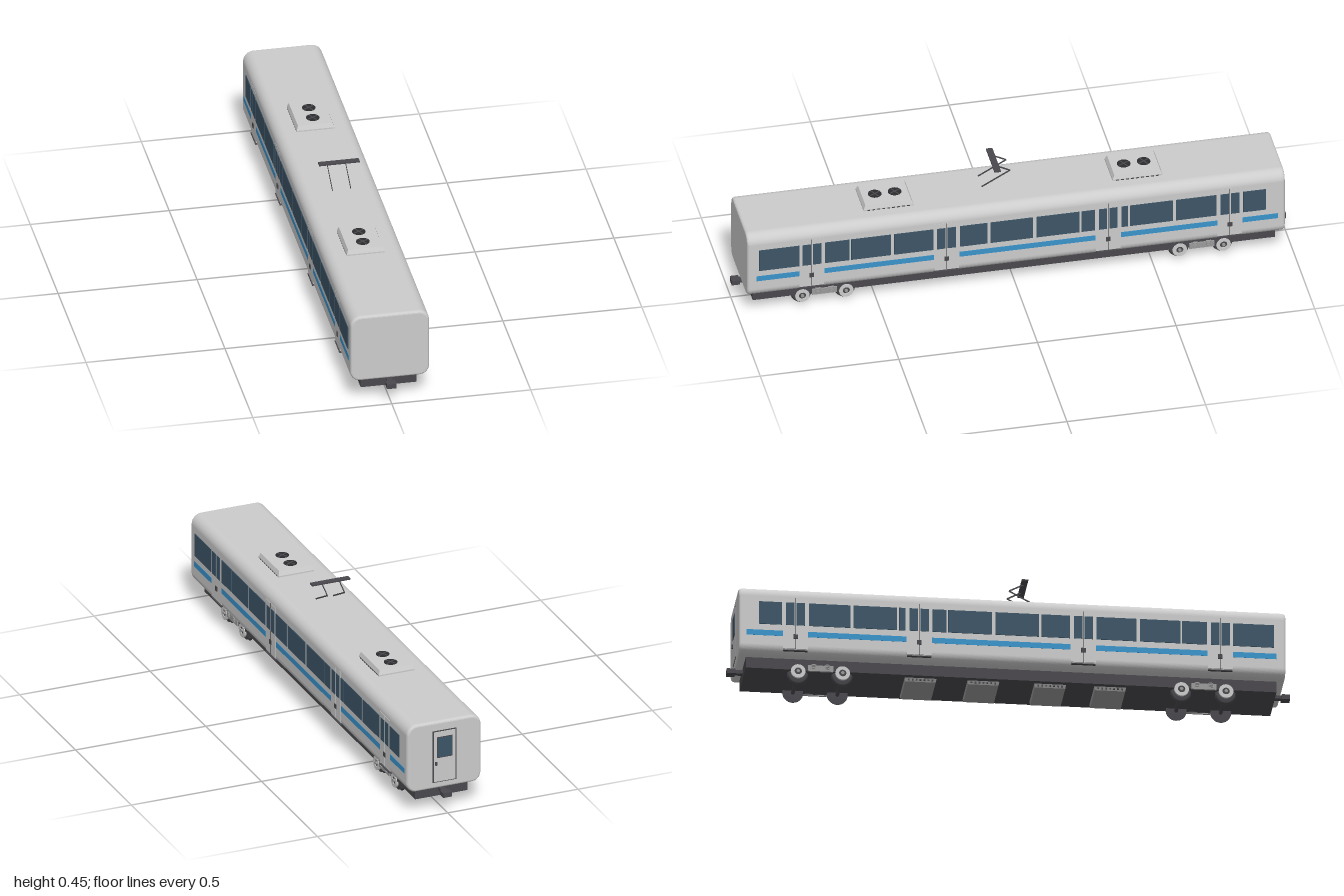
import * as THREE from 'three';

const mat = (color) => new THREE.MeshStandardMaterial({ color });
const GREY = mat(0xcccccc), DARK = mat(0x4a484d), GLASS = mat(0x3d5566);
const BLUE = mat(0x3a94cc), STEEL = mat(0x9a9a9a), BLACK = mat(0x2c2b2e);

function add(parent, name, geometry, material, x = 0, y = 0, z = 0) {
  const m = new THREE.Mesh(geometry, material);
  m.name = name;
  m.position.set(x, y, z);
  parent.add(m);
  return m;
}

// box given by its limits
function span(parent, name, material, x0, x1, y0, y1, z0, z1) {
  return add(parent, name, new THREE.BoxGeometry(Math.abs(x1 - x0), y1 - y0, Math.abs(z1 - z0)),
    material, (x0 + x1) / 2, (y0 + y1) / 2, (z0 + z1) / 2);
}

// box whose top is narrowed
function taperedBox(w, h, d, kx, kz) {
  const g = new THREE.BoxGeometry(w, h, d), p = g.attributes.position;
  for (let i = 0; i < p.count; i++) {
    if (p.getY(i) > 0) p.setXYZ(i, p.getX(i) * kx, p.getY(i), p.getZ(i) * kz);
  }
  g.computeVertexNormals();
  return g;
}

// cylinder lying along x
function disc(r, w, n = 24) {
  return new THREE.CylinderGeometry(r, r, w, n).rotateZ(Math.PI / 2);
}

function roundedShape(w, y0, y1, rb, rt) {
  const s = new THREE.Shape();
  s.moveTo(-w + rb, y0);
  s.lineTo(w - rb, y0);
  s.absarc(w - rb, y0 + rb, rb, -Math.PI / 2, 0);
  s.absarc(w - rt, y1 - rt, rt, 0, Math.PI / 2);
  s.absarc(-w + rt, y1 - rt, rt, Math.PI / 2, Math.PI);
  s.absarc(-w + rb, y0 + rb, rb, Math.PI, Math.PI * 1.5);
  return s;
}

const DOORS = [0.738, 0.252, -0.331, -0.77];
const WINDOWS = [[0.928, 0.783], [0.69, 0.602], [0.596, 0.452], [0.441, 0.299], [0.204, 0.104],
  [0.094, -0.06], [-0.072, -0.228], [-0.235, -0.283], [-0.379, -0.402], [-0.41, -0.564],
  [-0.575, -0.722], [-0.818, -0.9]];
const STRIPES = [[0.938, 0.783], [0.692, 0.297], [0.206, -0.286], [-0.377, -0.725], [-0.815, -0.944]];

function carSide(s) {
  const g = new THREE.Group();
  g.name = s > 0 ? 'leftSide' : 'rightSide';
  for (const [a, b] of WINDOWS) span(g, 'window', GLASS, s * 0.139, s * 0.1445, 0.199, 0.286, a, b);
  for (const [a, b] of STRIPES) span(g, 'stripe', BLUE, s * 0.139, s * 0.1428, 0.155, 0.176, a, b);
  for (const z of DOORS) {
    for (const k of [-1, 1]) {
      span(g, 'doorLeaf', GREY, s * 0.137, s * 0.1427, 0.108, 0.305, z + k * 0.001, z + k * 0.044);
      span(g, 'doorWindow', GLASS, s * 0.139, s * 0.1445, 0.199, 0.286, z + k * 0.004, z + k * 0.034);
    }
    span(g, 'doorSeam', BLACK, s * 0.139, s * 0.1424, 0.108, 0.305, z - 0.001, z + 0.001);
    span(g, 'doorHandle', DARK, s * 0.14, s * 0.1455, 0.146, 0.163, z - 0.008, z + 0.008);
    span(g, 'doorStep', DARK, s * 0.132, s * 0.1445, 0.1, 0.103, z - 0.043, z + 0.043);
  }
  return g;
}

function bogie(z) {
  const g = new THREE.Group();
  g.name = 'bogie';
  g.position.z = z;
  // tapered tread with a flange on the inner side
  const wheel = new THREE.LatheGeometry([[0, 0], [0.037, 0], [0.037, 0.003], [0.034, 0.005], [0.032, 0.014], [0, 0.014]]
    .map(([r, h]) => new THREE.Vector2(r, h)), 28).rotateZ(-Math.PI / 2);
  // open ring outside the wheel
  const ring = new THREE.Shape().absarc(0, 0, 0.026, 0, Math.PI * 2);
  ring.holes.push(new THREE.Path().absarc(0, 0, 0.013, 0, Math.PI * 2, true));
  const ringGeo = new THREE.ExtrudeGeometry(ring, { depth: 0.008, bevelEnabled: false, curveSegments: 14 })
    .rotateY(Math.PI / 2);
  for (const dz of [-0.079, 0.079]) {
    add(g, 'axle', disc(0.007, 0.2, 12), DARK, 0, 0.037, dz);
    for (const s of [-1, 1]) {
      const w = add(g, 'wheel', wheel, DARK, s * 0.074, 0.037, dz);
      if (s < 0) w.rotation.y = Math.PI;
      add(g, 'wheelRing', ringGeo, GREY, s > 0 ? 0.095 : -0.103, 0.041, dz);
      add(g, 'hubBack', disc(0.014, 0.006), DARK, s * 0.097, 0.041, dz);
      add(g, 'axleCap', disc(0.006, 0.012, 14), STEEL, s * 0.1, 0.041, dz);
    }
  }
  for (const s of [-1, 1]) {
    span(g, 'sideFrame', DARK, s * 0.093, s * 0.101, 0.045, 0.062, -0.08, 0.08);
    span(g, 'springBox', STEEL, s * 0.098, s * 0.106, 0.042, 0.064, -0.045, 0.045);
    for (const dz of [-0.024, 0.024]) {
      for (const y of [0.053, 0.059, 0.065]) {
        add(g, 'spring', new THREE.CylinderGeometry(0.01, 0.01, 0.004, 14), STEEL, s * 0.101, y, dz);
      }
    }
  }
  return g;
}

function roofUnit(z) {
  const g = new THREE.Group();
  g.name = 'roofUnit';
  g.position.z = z;
  span(g, 'roofUnitBase', GREY, -0.068, 0.068, 0.343, 0.352, -0.09, 0.09);
  add(g, 'roofUnitCover', taperedBox(0.136, 0.016, 0.18, 0.92, 0.92).toNonIndexed(), GREY, 0, 0.36, 0);
  for (const dz of [-0.036, 0.036]) {
    add(g, 'fan', new THREE.CylinderGeometry(0.024, 0.024, 0.004, 28), BLACK, 0, 0.3675, dz);
    for (const a of [0, Math.PI / 2]) {
      add(g, 'fanBlade', new THREE.BoxGeometry(0.044, 0.001, 0.005), DARK, 0, 0.3697, dz).rotation.y = a + 0.5;
    }
  }
  // side vents
  for (const s of [-1, 1]) {
    for (let i = -4; i <= 4; i++) span(g, 'vent', DARK, s * 0.06, s * 0.0688, 0.3465, 0.351, i * 0.018 - 0.005, i * 0.018 + 0.005);
  }
  return g;
}

function pantograph() {
  const g = new THREE.Group();
  g.name = 'pantograph';
  span(g, 'contactBar', DARK, -0.073, 0.073, 0.448, 0.453, 0.041, 0.064);
  const thin = new THREE.MeshStandardMaterial({ color: 0x4a484d, side: THREE.DoubleSide });
  const arm = (x, y0, z0, y1, z1) => {
    const len = Math.hypot(y1 - y0, z1 - z0);
    const m = add(g, 'arm', new THREE.BoxGeometry(0.002, 0.005, len), thin, x, (y0 + y1) / 2, (z0 + z1) / 2);
    m.rotation.x = -Math.atan2(y1 - y0, z1 - z0);
  };
  for (const x of [-0.033, 0.033]) {
    arm(x, 0.367, 0.102, 0.423, 0);
    arm(x, 0.423, 0, 0.45, 0.052);
  }
  return g;
}

export function createModel() {
  const model = new THREE.Group();
  model.name = 'railCar';

  // body shell with rounded ends
  const shell = new THREE.ExtrudeGeometry(roundedShape(0.133, 0.096, 0.338, 0.026, 0.03), {
    depth: 1.916, bevelSize: 0.009, bevelThickness: 0.012, bevelSegments: 4, curveSegments: 10,
  });
  add(model, 'body', shell, GREY, 0, 0, -0.958);
  model.add(carSide(1), carSide(-1));

  // rear end door
  span(model, 'rearDoorFrame', DARK, -0.045, 0.045, 0.112, 0.312, -0.965, -0.9715);
  span(model, 'rearDoor', GREY, -0.041, 0.041, 0.115, 0.308, -0.965, -0.973);
  span(model, 'rearDoorWindowFrame', DARK, -0.03, 0.03, 0.207, 0.288, -0.965, -0.974);
  span(model, 'rearDoorWindow', GLASS, -0.027, 0.027, 0.21, 0.285, -0.965, -0.9755);
  span(model, 'rearDoorHandle', DARK, 0.029, 0.037, 0.18, 0.193, -0.965, -0.978);

  // underframe and couplers
  span(model, 'underframe', DARK, -0.1, 0.1, 0.046, 0.092, -0.942, 0.942);
  for (const s of [-1, 1]) {
    span(model, 'couplerBar', DARK, -0.01, 0.01, 0.064, 0.077, s * 0.93, s * 0.98);
    span(model, 'couplerHead', DARK, -0.017, 0.017, 0.061, 0.079, s * 0.97, s);
  }

  // equipment boxes below the floor
  for (const z of [0.354, 0.141, -0.096, -0.319]) {
    add(model, 'equipmentBox', taperedBox(0.15, 0.016, 0.108, 1.08, 1.06).toNonIndexed(), STEEL, 0, 0.041, z);
    for (const s of [-1, 1]) {
      for (let i = -3; i <= 3; i++) {
        span(model, 'equipmentVent', DARK, s * 0.07, s * 0.0795, 0.037, 0.043, z + i * 0.014 - 0.003, z + i * 0.014 + 0.003);
      }
    }
  }

  model.add(bogie(0.684), bogie(-0.677));
  model.add(roofUnit(0.445), roofUnit(-0.453));
  model.add(pantograph());
  return model;
}
